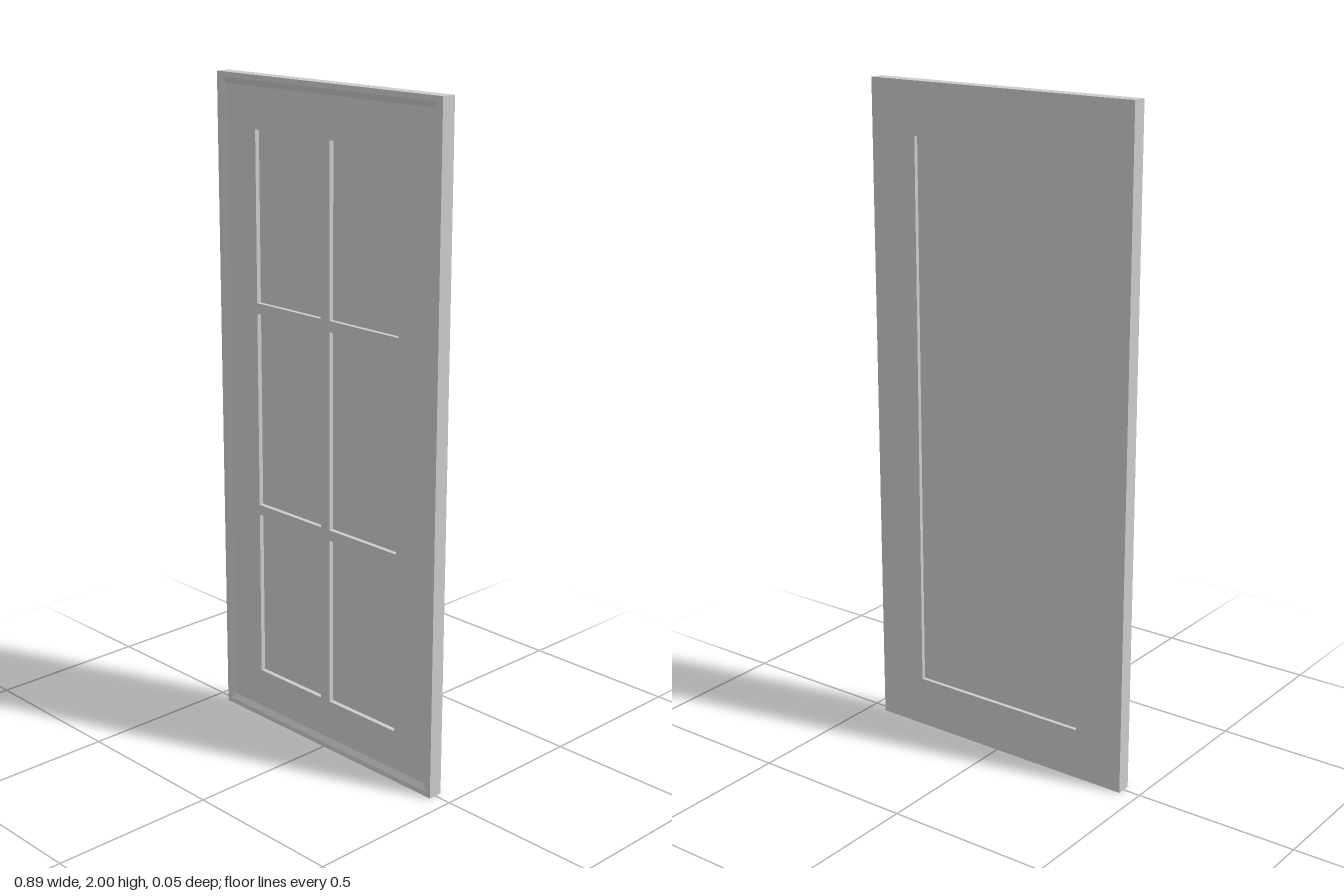
import * as THREE from 'three';

const W = 0.89, H = 2, BACK = -0.0225, FRONT = 0.0225, FACE = 0.0145, INSET = 0.155;
const material = new THREE.MeshStandardMaterial({ color: 0xcccccc });

// Sweeps a closed profile of [inset from the outer edge, z] around a mitred rectangle.
function mitredFrame(profile) {
  const rings = profile.map(([d, z]) => {
    const x = W / 2 - d;
    return [[-x, d, z], [x, d, z], [x, H - d, z], [-x, H - d, z]];
  });
  const positions = [];
  rings.forEach((a, k) => {
    const b = rings[(k + 1) % rings.length];
    for (let i = 0; i < 4; i++) {
      const j = (i + 1) % 4;
      positions.push(...a[i], ...a[j], ...b[j], ...a[i], ...b[j], ...b[i]);
    }
  });
  const geometry = new THREE.BufferGeometry();
  geometry.setAttribute('position', new THREE.Float32BufferAttribute(positions, 3));
  geometry.computeVertexNormals();
  return geometry;
}

export function createModel() {
  const model = new THREE.Group();
  model.name = 'panelDoor';

  const add = (name, geometry, x = 0, y = 0, z = 0) => {
    const mesh = new THREE.Mesh(geometry, material);
    mesh.name = name;
    mesh.position.set(x, y, z);
    model.add(mesh);
  };

  // Frame with a raised rim, a sloped moulding and a flat face around the opening
  add('frame', mitredFrame([
    [0, BACK], [0, FRONT], [0.015, FRONT], [0.033, FACE], [INSET, FACE], [INSET, BACK],
  ]));

  // Pane set between the front and back faces
  const openW = W - 2 * INSET, openH = H - 2 * INSET;
  add('pane', new THREE.BoxGeometry(openW, openH, 0.01), 0, H / 2, -0.005);

  // Upright bar and crossbars, flush with the face; the back stays plain
  const barW = 0.036, crossW = (openW - barW) / 2;
  add('uprightBar', new THREE.BoxGeometry(barW, openH, FACE), 0, H / 2, FACE / 2);
  for (const y of [0.69, 1.32]) {
    for (const side of [-1, 1]) {
      add(side < 0 ? 'rightCrossbar' : 'leftCrossbar',
        new THREE.BoxGeometry(crossW, 0.032, FACE), side * (barW + crossW) / 2, y, FACE / 2);
    }
  }
  return model;
}
